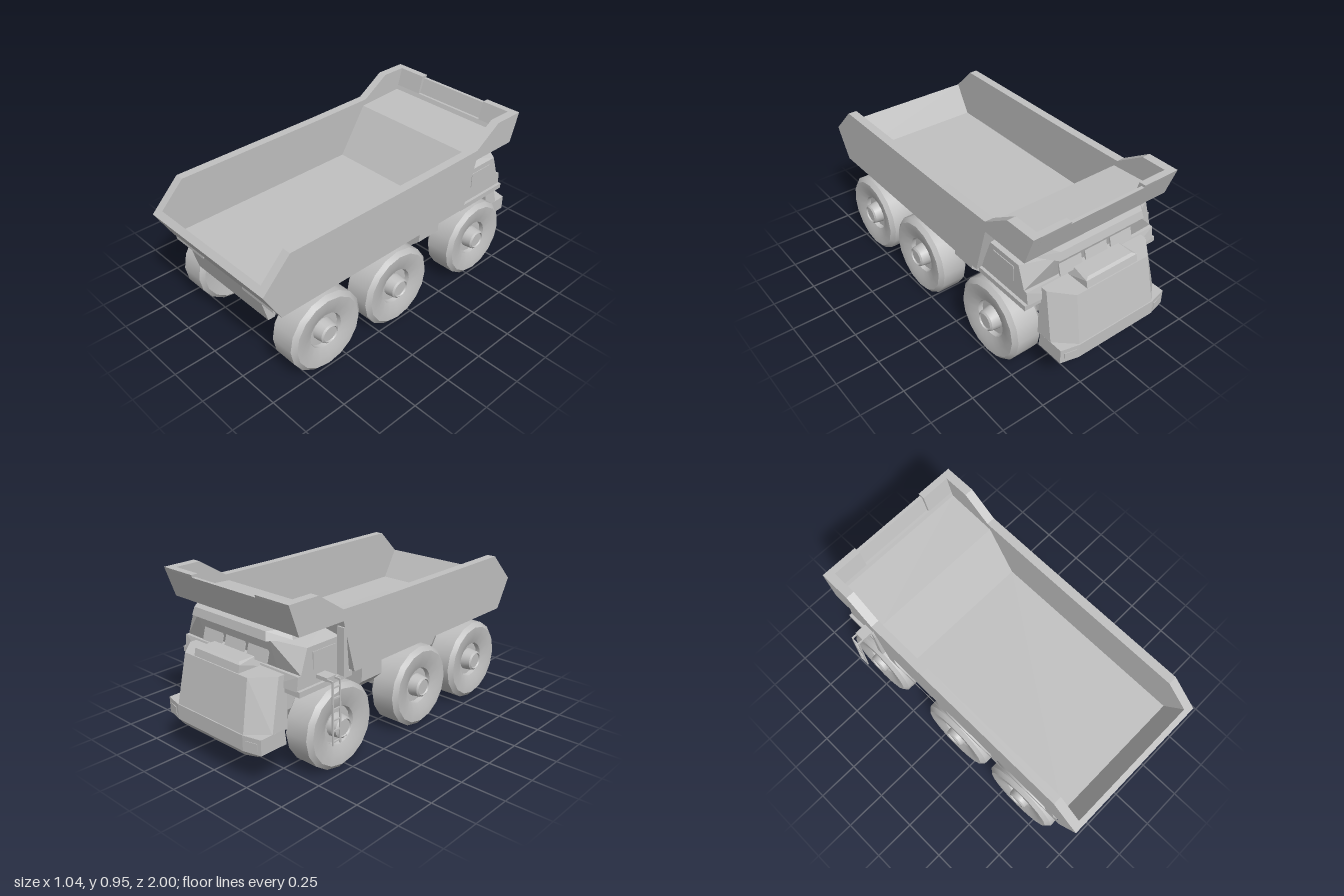
import * as THREE from 'three';
import { toCreasedNormals } from 'three/addons/utils/BufferGeometryUtils.js';
import { ConvexGeometry } from 'three/addons/geometries/ConvexGeometry.js';

const paint = new THREE.MeshStandardMaterial({ color: 0xc0c0c0 });
paint.name = 'grey paint';

export function createModel() {
  const model = new THREE.Group();
  model.name = 'dumpTruck';
  const body = new THREE.Group();
  body.name = 'truck';
  body.position.x = 0.0175;
  model.add(body);

  const add = (name, geo, parent = body) => {
    const mesh = new THREE.Mesh(geo, paint);
    mesh.name = name;
    parent.add(mesh);
    return mesh;
  };
  const box = (name, x0, x1, y0, y1, z0, z1) => {
    const m = add(name, new THREE.BoxGeometry(x1 - x0, y1 - y0, z1 - z0));
    m.position.set((x0 + x1) / 2, (y0 + y1) / 2, (z0 + z1) / 2);
    return m;
  };
  // Side profile given as [z, y], swept from x0 to x1
  const toPoints = (pts) => pts.map(([z, y]) => new THREE.Vector2(-z, y));
  const profile = (name, pts, x0, x1, holes = []) => {
    const shape = new THREE.Shape(toPoints(pts));
    holes.forEach((h) => shape.holes.push(new THREE.Path(toPoints(h))));
    const geo = new THREE.ExtrudeGeometry(shape, { depth: x1 - x0, bevelEnabled: false });
    geo.rotateY(Math.PI / 2).translate(x0, 0, 0);
    return add(name, geo);
  };
  // Convex solid from corners [half width, y, z], mirrored across x
  const solid = (name, pts) => add(name, new ConvexGeometry(
    pts.flatMap(([x, y, z]) => [new THREE.Vector3(x, y, z), new THREE.Vector3(-x, y, z)])));

  // Dump bed: floor, ramp, canopy and tail lip in one section
  profile('bedTub', [
    [0.97, 0.7], [0.87, 0.53], [-0.31, 0.53], [-0.49, 0.808], [-0.79, 0.825], [-0.8, 0.85],
    [-0.815, 0.85], [-0.845, 0.94], [-0.865, 0.94], [-0.81, 0.785], [-0.51, 0.785],
    [-0.43, 0.495], [0.9, 0.495], [1, 0.67],
  ], -0.414, 0.414);
  for (const s of [-1, 1]) {
    const span = (a, b) => (s > 0 ? [a, b] : [-b, -a]);
    profile('headboardEnd', [
      [-0.8, 0.85], [-0.83, 0.955], [-0.87, 0.955], [-0.865, 0.94], [-0.845, 0.94], [-0.815, 0.85],
    ], ...span(0.237, 0.414));

    // Side wall with recessed, slanted panels
    const wall = [
      [1, 0.67], [0.83, 0.84], [-0.13, 0.84], [-0.51, 0.845], [-0.68, 0.955], [-0.87, 0.955],
      [-0.81, 0.785], [-0.51, 0.785], [-0.43, 0.495], [0.9, 0.495],
    ];
    const panels = [0.8, 0.4, -0.02].map((z) => [
      [z, 0.517], [z - 0.06, 0.775], [z - 0.41, 0.775], [z - 0.35, 0.517],
    ]);
    panels.push([[0.965, 0.675], [0.81, 0.77], [0.86, 0.53]].map(([z, y]) => [z - 0.005, y]));
    profile('sideWall', wall, ...span(0.414, 0.452));
    profile('sideWallFrame', wall, ...span(0.452, 0.465), panels);
    box('tailStop', ...span(0.168, 0.414), 0.495, 0.527, 0.87, 0.91);
  }

  // Frame
  profile('chassis', [
    [0.87, 0.495], [0.85, 0.35], [0.8, 0.31], [-0.82, 0.31], [-0.82, 0.495],
  ], -0.2525, 0.2525);
  profile('rearFrameBrackets', [
    [0.9, 0.495], [0.86, 0.345], [0.82, 0.345], [0.74, 0.495],
  ], -0.3, 0.3);
  profile('sideTanks', [
    [-0.14, 0.495], [-0.14, 0.31], [-0.3, 0.31], [-0.3, 0.495],
  ], -0.3, 0.3);
  solid('tankStep', [
    [0.4, 0.495, -0.14], [0.4, 0.495, -0.3], [0.4, 0.375, -0.14], [0.4, 0.375, -0.3],
    [0.33, 0.31, -0.14], [0.33, 0.31, -0.3],
  ]);

  // Wheel section as [radius, offset outward]
  const wheelGeo = toCreasedNormals(new THREE.LatheGeometry([
    [0, -0.05], [0.1, -0.05], [0.11, -0.08], [0.21, -0.0925], [0.235, -0.07], [0.235, 0.07],
    [0.21, 0.0925], [0.16, 0.09], [0.105, 0.07], [0.1, 0.045], [0.065, 0.045],
    [0.058, 0.1], [0.048, 0.108], [0.044, 0.1], [0, 0.1],
  ].map(([r, h]) => new THREE.Vector2(r, h)), 16), 0.55);

  for (const z of [0.625, 0.11, -0.545]) {
    const axle = add('axle', new THREE.CylinderGeometry(0.04, 0.04, 0.7, 12));
    axle.rotation.z = Math.PI / 2;
    axle.position.set(0, 0.24, z);
    for (const s of [-1, 1]) {
      const wheel = add('wheel', wheelGeo);
      wheel.rotation.z = -s * Math.PI / 2;
      wheel.position.set(s * 0.395, 0.237, z);
      // Wedge-shaped axle carrier
      const corners = [[0.2525, 0.32], [0.2525, 0.18], [0.15, 0.18], [0.035, 0.32]];
      add('axleCarrier', new ConvexGeometry(corners.flatMap(([x, y]) => [-1, 1].map(
        (e) => new THREE.Vector3(s * x, y, z + e * (y < 0.2 ? 0.06 : 0.1))))));
    }
  }

  // Cab
  box('cabFloor', -0.447, 0.447, 0.47, 0.5, -0.8, -0.43);
  solid('cabLower', [
    [0.43, 0.495, -0.43], [0.43, 0.495, -0.8], [0.43, 0.57, -0.79],
    [0.28, 0.495, -0.81], [0.28, 0.57, -0.775], [0.43, 0.57, -0.455],
  ]);
  solid('cabUpper', [
    [0.43, 0.57, -0.455], [0.43, 0.57, -0.77], [0.27, 0.57, -0.775],
    [0.43, 0.7, -0.505], [0.43, 0.7, -0.725], [0.27, 0.73, -0.82], [0.33, 0.73, -0.52],
  ]);
  solid('cabRoof', [
    [0.36, 0.73, -0.52], [0.36, 0.73, -0.75], [0.28, 0.73, -0.85],
    [0.34, 0.785, -0.54], [0.34, 0.785, -0.74], [0.27, 0.775, -0.84],
  ]);
  for (const x of [-0.17, 0, 0.17]) {
    const pane = add('windshieldPane', new THREE.BoxGeometry(0.145, 0.115, 0.009));
    pane.position.set(x, 0.65, -0.8);
    pane.rotation.x = Math.atan2(0.045, 0.16);
  }
  for (const s of [-1, 1]) {
    const pane = box('sideWindow', -0.004, 0.004, 0.58, 0.67, -0.69, -0.53);
    pane.position.x = s * 0.43;
  }

  // Engine hood
  solid('hood', [
    [0.255, 0.28, -0.995], [0.36, 0.28, -0.9], [0.36, 0.28, -0.8],
    [0.24, 0.56, -0.94], [0.34, 0.56, -0.83], [0.34, 0.56, -0.78],
  ]);
  solid('hoodScoop', [
    [0.17, 0.555, -0.935], [0.17, 0.6, -0.925], [0.15, 0.61, -0.91],
    [0.17, 0.555, -0.79], [0.15, 0.61, -0.79],
  ]);

  // Bumper and lamps
  solid('bumper', [
    [0.255, 0.285, -1], [0.255, 0.2, -1], [0.24, 0.165, -0.975],
    [0.36, 0.285, -0.975], [0.36, 0.2, -0.975], [0.3, 0.165, -0.95],
    [0.36, 0.285, -0.82], [0.36, 0.2, -0.81], [0.3, 0.165, -0.8],
  ]);
  for (const s of [-1, 1]) {
    const lamp = box('headlamp', -0.035, 0.035, 0.215, 0.26, -0.004, 0.004);
    lamp.position.set(s * 0.305, 0.2375, -0.987);
    lamp.rotation.y = -s * Math.atan2(0.025, 0.105);
  }

  // Access ladder on one side
  for (const z of [-0.612, -0.664]) {
    box('ladderRail', -0.538, -0.53, 0.195, 0.535, z - 0.004, z + 0.004);
    box('ladderArm', -0.538, -0.43, 0.53, 0.54, z - 0.004, z + 0.004);
  }
  box('ladderBracket', -0.503, -0.43, 0.528, 0.548, -0.67, -0.606);
  for (let i = 0; i < 6; i++) {
    const y = 0.21 + i * 0.058;
    box('ladderRung', -0.538, -0.53, y, y + 0.008, -0.664, -0.612);
  }
  profile('grabPanel', [
    [-0.48, 0.5], [-0.5, 0.72], [-0.51, 0.755], [-0.52, 0.755], [-0.52, 0.5],
  ], -0.475, -0.43);

  return model;
}
